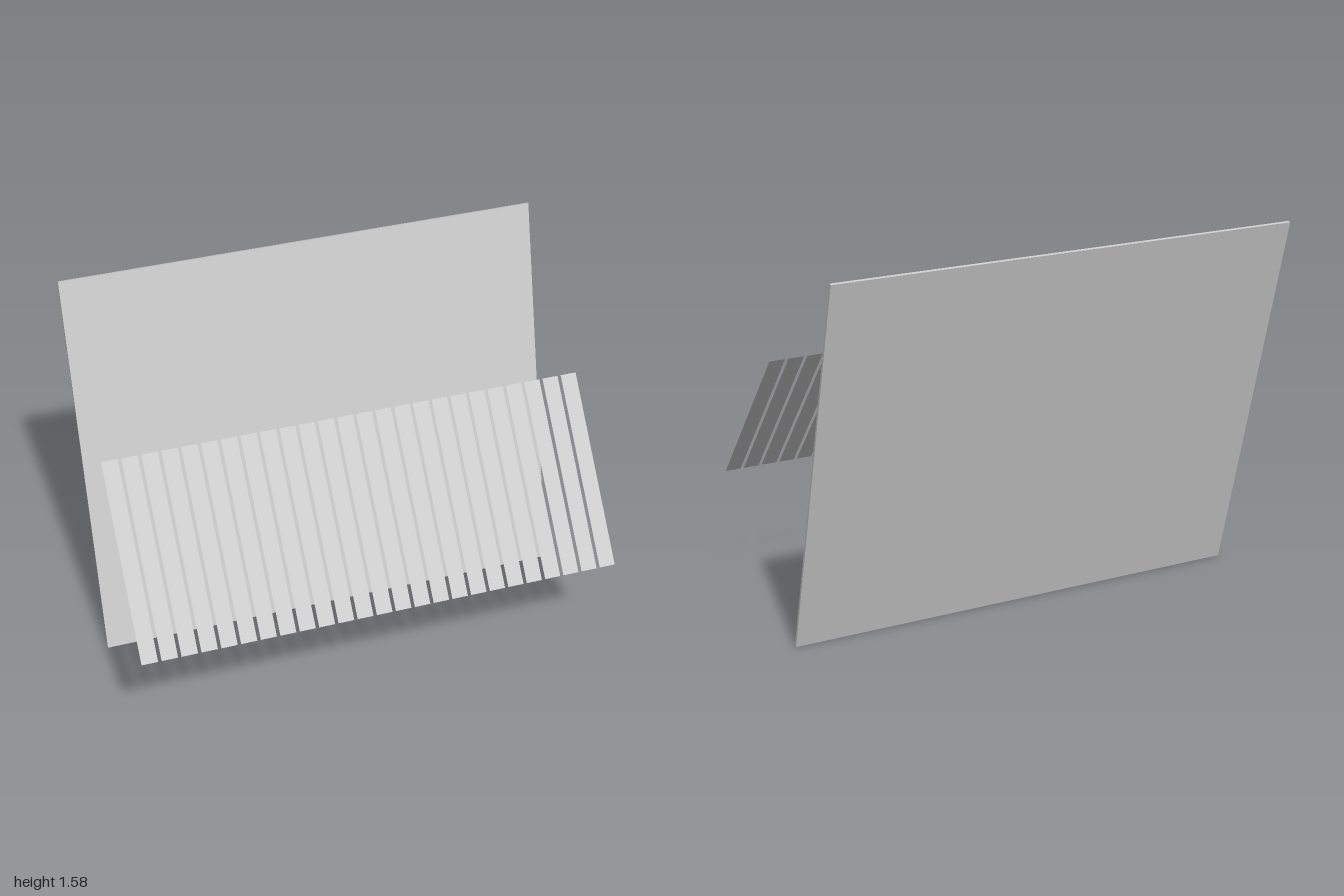
import * as THREE from 'three';

export function createModel() {
  const group = new THREE.Group();
  const grey = new THREE.MeshStandardMaterial({ color: 0xcccccc, flatShading: true });
  const thin = new THREE.MeshStandardMaterial({ color: 0xcccccc, flatShading: true, side: THREE.DoubleSide });
  const deg = Math.PI / 180;

  // Large panel leaning back 15 degrees
  const panel = new THREE.Mesh(new THREE.BoxGeometry(2, 1.633, 0.012), grey);
  panel.name = 'backPanel';
  panel.position.set(0, 0.79, -0.35);
  panel.rotation.x = -15 * deg;
  group.add(panel);

  // Row of thin slats leaning back 40 degrees in front of the panel
  const slats = new THREE.Group();
  slats.name = 'slats';
  slats.position.set(0, 0.817, 0.31);
  slats.rotation.x = -40 * deg;
  const slatGeometry = new THREE.PlaneGeometry(0.066, 0.802);
  for (let i = 0; i < 25; i++) {
    const slat = new THREE.Mesh(slatGeometry, thin);
    slat.name = 'slat' + (i + 1);
    slat.position.x = -0.9625 + i * 0.08;
    slats.add(slat);
  }
  group.add(slats);
  return group;
}
